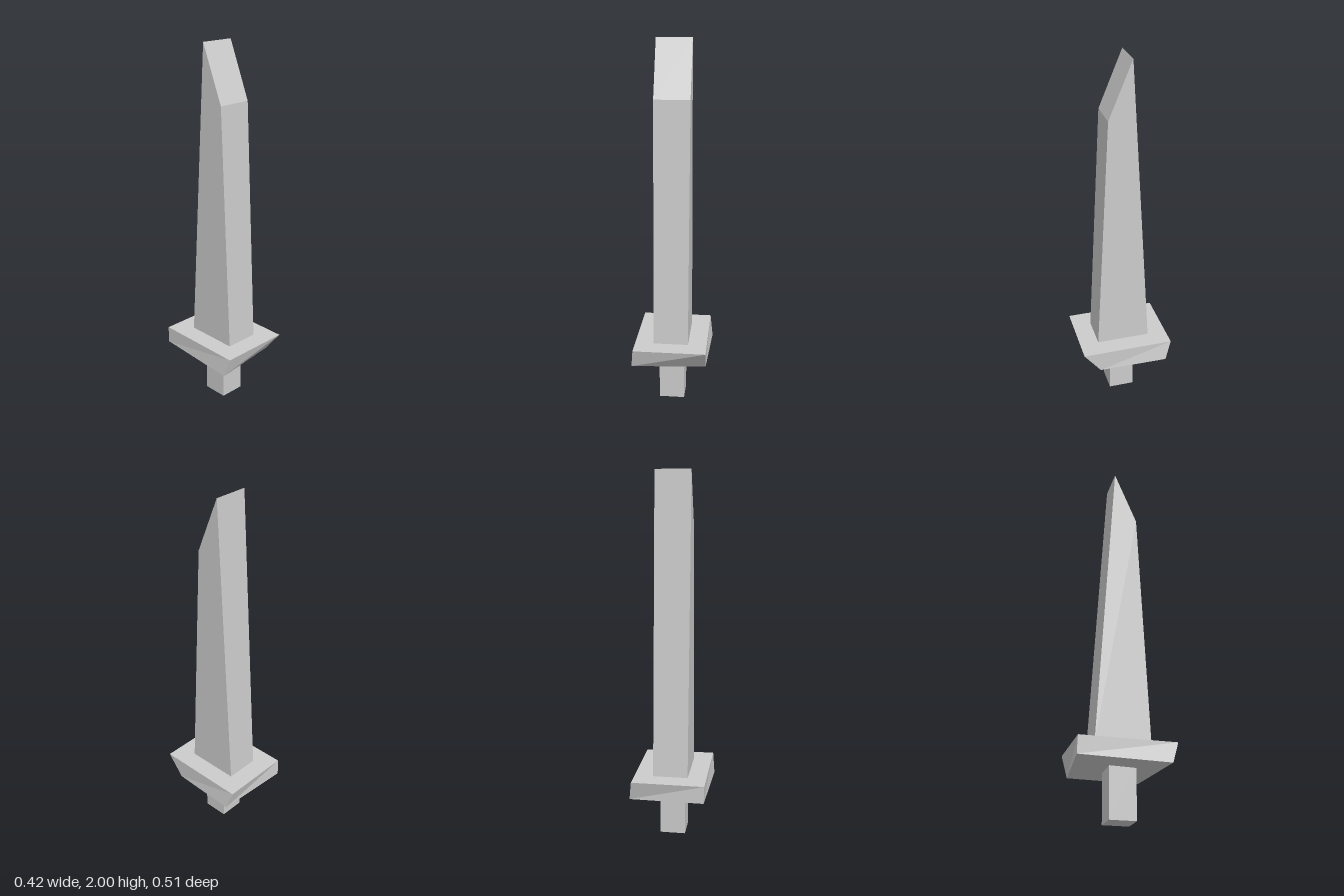
import * as THREE from 'three';

const material = new THREE.MeshStandardMaterial({ color: 0xcccccc, flatShading: true });

function part(name, geometry) {
  const mesh = new THREE.Mesh(geometry, material);
  mesh.name = name;
  return mesh;
}

// Blade: single-edged side profile, extruded across its thickness
function bladeGeometry() {
  const profile = [[0.148, 0.37], [0.08, 1.7], [-0.045, 2], [-0.147, 0.37]]; // [z, y]
  const shape = new THREE.Shape(profile.map(([z, y]) => new THREE.Vector2(-z, y)));
  return new THREE.ExtrudeGeometry(shape, { depth: 0.19, bevelEnabled: false })
    .rotateY(Math.PI / 2)
    .translate(-0.098, 0, 0);
}

// Guard: flat-topped block whose four lower corners are unevenly hewn
function guardGeometry() {
  const lower = {
    frontLeft: [0.192, 0.25, 0.16],
    frontRight: [-0.212, 0.262, 0.22],
    backLeft: [0.21, 0.26, -0.22],
    backRight: [-0.198, 0.275, -0.256],
  };
  const geometry = new THREE.BoxGeometry(2, 2, 2);
  const p = geometry.attributes.position;
  for (let i = 0; i < p.count; i++) {
    const x = p.getX(i), z = p.getZ(i);
    if (p.getY(i) > 0) {
      p.setXYZ(i, x > 0 ? 0.195 : -0.2, 0.37, z * 0.253);
    } else {
      p.setXYZ(i, ...lower[(z > 0 ? 'front' : 'back') + (x > 0 ? 'Left' : 'Right')]);
    }
  }
  geometry.computeVertexNormals();
  return geometry;
}

export function createModel() {
  const group = new THREE.Group();
  group.name = 'shortSword';
  group.add(part('blade', bladeGeometry()));
  group.add(part('guard', guardGeometry()));
  // Grip: plain square bar running up into the guard
  group.add(part('grip', new THREE.BoxGeometry(0.14, 0.28, 0.14).translate(-0.004, 0.14, 0.004)));
  return group;
}
